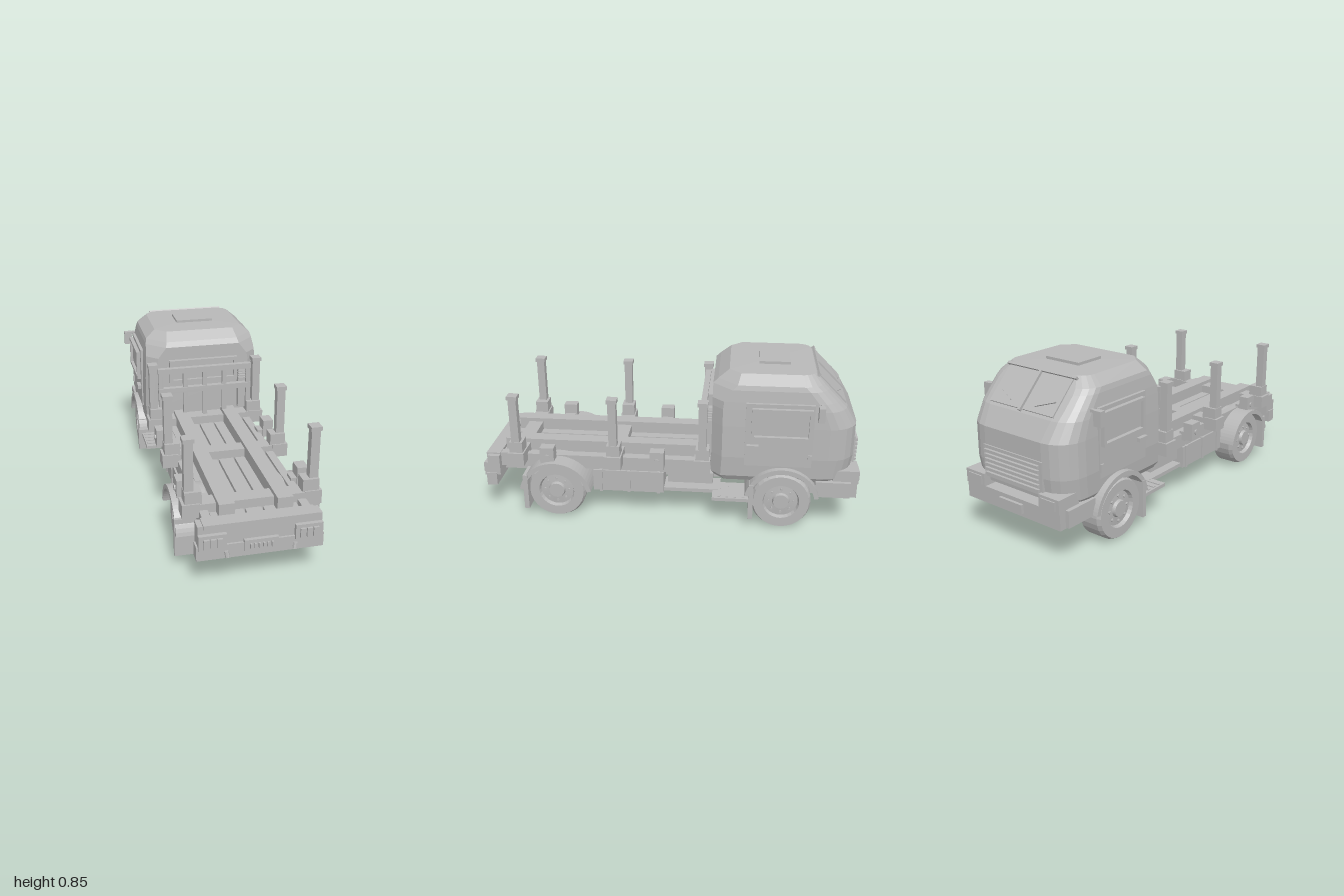
import * as THREE from 'three';

const grey = new THREE.MeshStandardMaterial({ color: 0xb8b8b8, flatShading: true });
grey.name = 'grey';

export function createModel() {
  const truck = new THREE.Group();
  truck.name = 'flatbedTruck';
  const add = (name, geo, parent = truck) => {
    const m = new THREE.Mesh(geo, grey);
    m.name = name;
    parent.add(m);
    return m;
  };
  // box from its limits, and the same box on both sides
  const box = (name, x0, x1, y0, y1, z0, z1) => {
    const g = new THREE.BoxGeometry(x1 - x0, y1 - y0, z1 - z0);
    g.translate((x0 + x1) / 2, (y0 + y1) / 2, (z0 + z1) / 2);
    return add(name, g);
  };
  const pair = (name, x0, x1, ...r) => {
    box(name, x0, x1, ...r);
    box(name, -x1, -x0, ...r);
  };
  // rod between two points
  const rod = (name, a, b, r, sides = 10) => {
    const A = new THREE.Vector3(...a), B = new THREE.Vector3(...b);
    const m = add(name, new THREE.CylinderGeometry(r, r, A.distanceTo(B), sides));
    m.position.copy(A).add(B).multiplyScalar(0.5);
    m.quaternion.setFromUnitVectors(new THREE.Vector3(0, 1, 0), B.sub(A).normalize());
  };

  // cab shell: stacked rings of [y, rear z, front z, half width, front radius, rear chamfer]
  const rings = [
    [0.26, -0.25, -0.9, 0.3, 0.13, 0.05],
    [0.29, -0.23, -0.95, 0.318, 0.14, 0.05],
    [0.4, -0.23, -0.965, 0.325, 0.14, 0.055],
    [0.57, -0.23, -0.965, 0.322, 0.14, 0.055],
    [0.66, -0.23, -0.91, 0.318, 0.12, 0.055],
    [0.7, -0.23, -0.872, 0.315, 0.11, 0.06],
    [0.76, -0.23, -0.814, 0.309, 0.1, 0.1],
    [0.785, -0.255, -0.789, 0.303, 0.1, 0.1],
    [0.83, -0.31, -0.745, 0.25, 0.07, 0.06],
  ].map(([y, zr, zf, hw, rf, rr]) => {
    const half = [[hw - rr, zr], [hw, zr - rr]];
    for (let i = 0; i <= 5; i++) {
      const a = (i / 5) * Math.PI / 2;
      half.push([hw - rf + rf * Math.cos(a), zf + rf - rf * Math.sin(a)]);
    }
    const all = half.concat(half.slice().reverse().map(([x, z]) => [-x, z]));
    return all.map(([x, z]) => [x, y, z]);
  });
  const pos = [];
  const n = rings[0].length;
  const top = rings[rings.length - 1];
  for (let j = 0; j < n; j++) {
    const k = (j + 1) % n;
    for (let i = 0; i + 1 < rings.length; i++) {
      const a = rings[i][j], b = rings[i][k], c = rings[i + 1][k], d = rings[i + 1][j];
      pos.push(...a, ...b, ...c, ...a, ...c, ...d);
    }
    pos.push(0, 0.834, -0.53, ...top[j], ...top[k]);
    pos.push(0, 0.26, -0.55, ...rings[0][k], ...rings[0][j]);
  }
  const cabGeo = new THREE.BufferGeometry();
  cabGeo.setAttribute('position', new THREE.Float32BufferAttribute(pos, 3));
  cabGeo.computeVertexNormals();
  add('cab', cabGeo);
  box('roofHatch', -0.105, 0.105, 0.825, 0.846, -0.62, -0.46);

  // windscreen on the sloping front
  const screen = new THREE.Group();
  screen.name = 'windscreen';
  screen.position.set(0, 0.745, -0.831);
  screen.rotation.x = -Math.PI / 4;
  truck.add(screen);
  const plate = (name, w, h, d, x, y, turn = 0) => {
    const m = add(name, new THREE.BoxGeometry(w, h, d), screen);
    m.position.set(x, y, 0);
    m.rotation.z = turn;
  };
  // local +y climbs the slope towards the roof after this half turn
  screen.rotation.x = Math.PI / 4;
  for (const s of [-1, 1]) {
    plate('windscreenPane', 0.19, 0.2, 0.008, s * 0.108, 0);
    plate('wiper', 0.11, 0.005, 0.02, s * 0.13, -0.05, s * 0.4);
  }
  plate('windscreenDivider', 0.014, 0.22, 0.022, 0, 0);
  plate('windscreenTopTrim', 0.44, 0.012, 0.022, 0, 0.108);

  // doors, side windows, mirrors
  pair('door', 0.31, 0.331, 0.36, 0.7, -0.74, -0.4);
  pair('sideWindow', 0.325, 0.337, 0.535, 0.665, -0.715, -0.445);
  for (const y of [0.515, 0.665]) pair('windowFrame', 0.31, 0.352, y, y + 0.015, -0.73, -0.43);
  for (const z of [-0.73, -0.445]) pair('windowFrame', 0.31, 0.352, 0.52, 0.675, z, z + 0.015);
  pair('doorHandle', 0.32, 0.352, 0.46, 0.48, -0.47, -0.41);
  pair('doorHinge', 0.32, 0.338, 0.39, 0.43, -0.74, -0.72);
  pair('mirror', 0.335, 0.378, 0.63, 0.705, -0.785, -0.755);
  pair('mirrorArm', 0.3, 0.345, 0.69, 0.705, -0.78, -0.765);

  // grille, headlights, front bumper
  box('grille', -0.19, 0.19, 0.32, 0.48, -0.972, -0.94);
  for (let i = 0; i < 6; i++) box('grilleSlat', -0.175, 0.175, 0.335 + i * 0.023, 0.349 + i * 0.023, -0.985, -0.96);
  pair('headlight', 0.18, 0.305, 0.265, 0.335, -0.99, -0.86);
  pair('headlightLens', 0.195, 0.285, 0.278, 0.322, -0.996, -0.985);
  box('frontBumper', -0.305, 0.305, 0.185, 0.27, -0.985, -0.9);
  pair('bumperEnd', 0.265, 0.325, 0.19, 0.275, -0.95, -0.77);
  box('frontPlate', -0.075, 0.075, 0.205, 0.25, -1, -0.98);

  // rear wall of the cab: window, intake stack
  for (const y of [0.555, 0.67]) box('rearWindowFrame', -0.195, 0.195, y, y + 0.018, -0.24, -0.205);
  pair('rearWindowFrame', 0.175, 0.195, 0.555, 0.685, -0.24, -0.205);
  box('rearWindow', -0.18, 0.18, 0.56, 0.68, -0.24, -0.222);
  box('intakeStack', 0.2, 0.24, 0.38, 0.63, -0.24, -0.2);
  for (let i = 0; i < 5; i++) box('intakeLouver', 0.198, 0.248, 0.56 + i * 0.014, 0.567 + i * 0.014, -0.24, -0.185);

  // headboard rack
  for (const y of [0.51, 0.625]) box('rackBar', -0.267, 0.267, y, y + 0.03, -0.2, -0.17);
  box('rackPost', -0.012, 0.012, 0.33, 0.63, -0.195, -0.175);
  for (const x of [0.1, 0.24]) pair('rackPost', x, x + 0.025, 0.33, 0.63, -0.195, -0.175);

  // bed: side frames, slats, raised rails, cross beams
  pair('sideFrame', 0.215, 0.255, 0.26, 0.335, -0.22, 0.92);
  for (let i = -2; i <= 2; i++) box('deckSlat', i * 0.085 - 0.038, i * 0.085 + 0.038, 0.29, 0.32, -0.22, 0.92);
  box('deckFloor', -0.22, 0.22, 0.275, 0.3, -0.22, 0.9);
  pair('loadRail', 0.1, 0.175, 0.31, 0.385, -0.22, 0.89);
  for (const z of [-0.185, 0.28, 0.795]) {
    box('crossBeam', -0.29, 0.29, 0.3, 0.365, z - 0.04, z + 0.04);
    pair('stakeSocket', 0.24, 0.32, 0.355, 0.428, z - 0.035, z + 0.035);
    pair('stakeFoot', 0.25, 0.333, 0.3, 0.37, z - 0.042, z + 0.042);
    pair('stake', 0.275, 0.318, 0.36, 0.67, z - 0.021, z + 0.021);
    pair('stakeCap', 0.27, 0.323, 0.667, 0.687, z - 0.027, z + 0.027);
  }
  for (const z of [0.05, 0.63]) {
    pair('bedBlock', 0.27, 0.325, 0.31, 0.405, z - 0.037, z + 0.037);
    pair('bedBlockArm', 0.24, 0.28, 0.3, 0.35, z - 0.03, z + 0.03);
    for (const s of [-1, 1]) rod('blockBolt', [s * 0.32, 0.355, z], [s * 0.333, 0.355, z], 0.014);
  }

  // rear bumper, lights, plate
  box('tailBeam', -0.29, 0.29, 0.22, 0.33, 0.9, 0.965);
  box('tailTopBar', -0.265, 0.265, 0.315, 0.337, 0.9, 0.975);
  box('rearBumper', -0.298, 0.298, 0.16, 0.23, 0.92, 0.975);
  pair('tailLight', 0.16, 0.29, 0.215, 0.29, 0.96, 0.985);
  for (let i = 0; i < 3; i++) pair('tailLens', 0.18 + i * 0.031, 0.206 + i * 0.031, 0.228, 0.274, 0.98, 0.996);
  box('rearPlate', -0.08, 0.08, 0.19, 0.246, 0.97, 0.988);
  for (let i = 0; i < 6; i++) box('plateRib', -0.055 + i * 0.02, -0.047 + i * 0.02, 0.206, 0.23, 0.985, 1);
  for (const s of [-1, 1]) rod('towHook', [s * 0.162, 0.2, 0.98], [s * 0.157, 0.17, 0.985], 0.011, 8);

  // chassis, tanks, steps, running gear
  pair('chassisRail', 0.1, 0.15, 0.19, 0.285, -0.85, 0.92);
  for (const z of [-0.3, 0.0, 0.4, 0.85]) box('chassisCrossMember', -0.15, 0.15, 0.2, 0.27, z - 0.025, z + 0.025);
  pair('sideTank', 0.12, 0.265, 0.14, 0.26, 0.02, 0.4);
  for (const z of [0.04, 0.2, 0.35]) pair('tankStrap', 0.118, 0.272, 0.137, 0.263, z, z + 0.015);
  pair('sideBox', 0.12, 0.24, 0.195, 0.255, -0.24, 0.0);
  pair('stepBracket', 0.12, 0.25, 0.145, 0.165, -0.28, 0.02);
  pair('stepPlate', 0.16, 0.335, 0.145, 0.163, -0.43, -0.24);
  for (let i = 0; i < 4; i++) pair('stepTread', 0.18, 0.325, 0.16, 0.168, -0.41 + i * 0.042, -0.395 + i * 0.042);
  box('engineSump', -0.095, 0.095, 0.085, 0.27, -0.8, -0.45);
  rod('driveShaft', [0, 0.165, -0.45], [0, 0.157, 0.55], 0.025, 12);
  for (const z of [-0.6, 0.59]) rod('axle', [-0.2, 0.157, z], [0.2, 0.157, z], z > 0 ? 0.045 : 0.03, 12);
  add('differential', new THREE.SphereGeometry(0.07, 12, 8)).position.set(0, 0.157, 0.59);

  // wheels, fenders, mud flaps
  const tyre = new THREE.LatheGeometry([
    [0, -0.07], [0.13, -0.07], [0.155, -0.05], [0.155, 0.05], [0.145, 0.07], [0.095, 0.07],
    [0.088, 0.05], [0.045, 0.054], [0.04, 0.07], [0, 0.07],
  ].map(p => new THREE.Vector2(...p)), 28);
  const arc = new THREE.Shape();
  arc.absarc(0, 0, 0.195, 0.2, Math.PI - 0.2, false);
  arc.absarc(0, 0, 0.172, Math.PI - 0.2, 0.2, true);
  const fender = new THREE.ExtrudeGeometry(arc, { depth: 0.17, bevelEnabled: false, curveSegments: 14 });
  fender.translate(0, 0, -0.085);
  fender.rotateY(Math.PI / 2);
  for (const z of [-0.6, 0.59]) {
    for (const s of [-1, 1]) {
      const hubX = z < 0 ? 0.264 : 0.25;
      const wheel = add('wheel', tyre);
      wheel.rotation.z = -s * Math.PI / 2;
      wheel.position.set(s * hubX, 0.155, z);
      add('fender', fender).position.set(s * 0.268, z < 0 ? 0.155 : 0.135, z);
      for (let i = 0; i < 8; i++) {
        const a = i * Math.PI / 4, y = 0.155 + 0.065 * Math.sin(a), w = z + 0.065 * Math.cos(a);
        rod('wheelNut', [s * (hubX + 0.045), y, w], [s * (hubX + 0.06), y, w], 0.007, 6);
      }
    }
    pair('mudFlap', 0.18, 0.357, 0.058, 0.255, z + 0.145, z + 0.17);
  }
  return truck;
}
